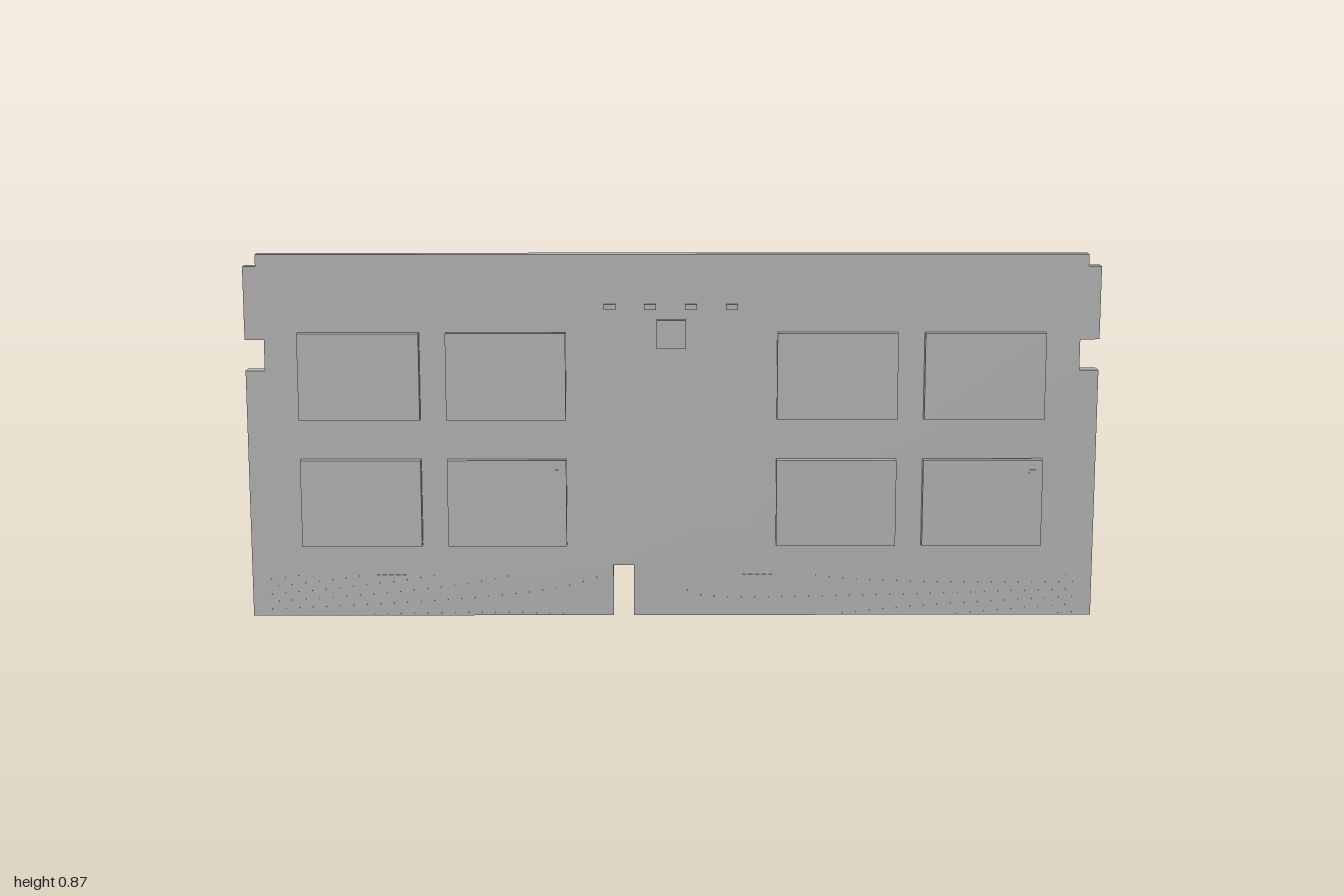
import * as THREE from 'three';

export function createModel() {
  const group = new THREE.Group();
  const grey = new THREE.MeshStandardMaterial({ color: 0xb0b0b0 });
  grey.name = 'plain grey';
  const FACE = 0.018; // half thickness of the board

  // Box given by its limits on each axis
  function box(name, x0, x1, y0, y1, z0, z1, parent = group) {
    const mesh = new THREE.Mesh(new THREE.BoxGeometry(x1 - x0, y1 - y0, Math.abs(z1 - z0)), grey);
    mesh.position.set((x0 + x1) / 2, (y0 + y1) / 2, (z0 + z1) / 2);
    mesh.name = name;
    parent.add(mesh);
    return mesh;
  }

  // Circuit board with side notches, stepped corners and a key slot
  const right = [[1, 0], [1, 0.592], [0.955, 0.592], [0.955, 0.665], [1, 0.665], [1, 0.837], [0.97, 0.837], [0.97, 0.865]];
  const left = right.map(([x, y]) => [-x, y]).reverse();
  const slot = [[-0.14, 0], [-0.14, 0.123], [-0.092, 0.123], [-0.092, 0]];
  const outline = [...right, ...left, ...slot].map(([x, y]) => new THREE.Vector2(x, y));
  const boardGeometry = new THREE.ExtrudeGeometry(new THREE.Shape(outline), { depth: 2 * FACE, bevelEnabled: false });
  boardGeometry.translate(0, 0, -FACE);
  const board = new THREE.Mesh(boardGeometry, grey);
  board.name = 'circuitBoard';
  group.add(board);

  // Memory chips standing on solder contacts, on both faces
  const columns = [[-0.875, -0.592], [-0.53, -0.25], [0.245, 0.527], [0.59, 0.872]];
  const rows = [[0.175, 0.382], [0.478, 0.683]];
  for (const side of [1, -1]) {
    for (const [x0, x1] of columns) {
      for (const [y0, y1] of rows) {
        const chip = new THREE.Group();
        chip.name = side > 0 ? 'frontMemoryChip' : 'backMemoryChip';
        group.add(chip);
        box('chipBody', x0, x1, y0, y1, side * 0.022, side * 0.045, chip);
        for (const dy of [0.03, 0.08, 0.13]) {
          for (let i = 0; i < 9; i++) {
            const x = x0 + 0.02 + (i * (x1 - x0 - 0.04)) / 8;
            box('solderContact', x - 0.006, x + 0.006, y0 + dy - 0.006, y0 + dy + 0.006, side * FACE, side * 0.022, chip);
          }
        }
        // Corner mark
        const mx = side > 0 ? x1 - 0.025 : x0 + 0.025;
        box('cornerMark', mx - 0.007, mx + 0.007, y1 - 0.037, y1 - 0.023, side * 0.045, side * 0.0455, chip);
      }
    }

    // Edge contacts, skipping the key slot
    const contacts = new THREE.Group();
    contacts.name = side > 0 ? 'frontEdgeContacts' : 'backEdgeContacts';
    group.add(contacts);
    for (let i = 0; i < 120; i++) {
      const x = -0.96 + (i * 1.92) / 119;
      if (x > -0.155 && x < -0.077) continue;
      box('edgeContact', x - 0.005, x + 0.005, 0.003, 0.1, side * FACE, side * (FACE + 0.0004), contacts);
    }

    // Blank label
    box(side > 0 ? 'frontLabel' : 'backLabel', -0.195, 0.2, 0.21, 0.58, side * FACE, side * (FACE + 0.0006));
  }

  // Small controller chip with a thin base
  box('controllerBase', -0.034, 0.027, 0.65, 0.708, FACE, 0.024);
  box('controllerChip', -0.037, 0.031, 0.646, 0.713, 0.022, 0.04);

  // Row of resistors
  for (const x of [-0.147, -0.052, 0.043, 0.139]) {
    box('resistor', x - 0.014, x + 0.014, 0.736, 0.749, FACE, 0.03);
  }

  return group;
}
